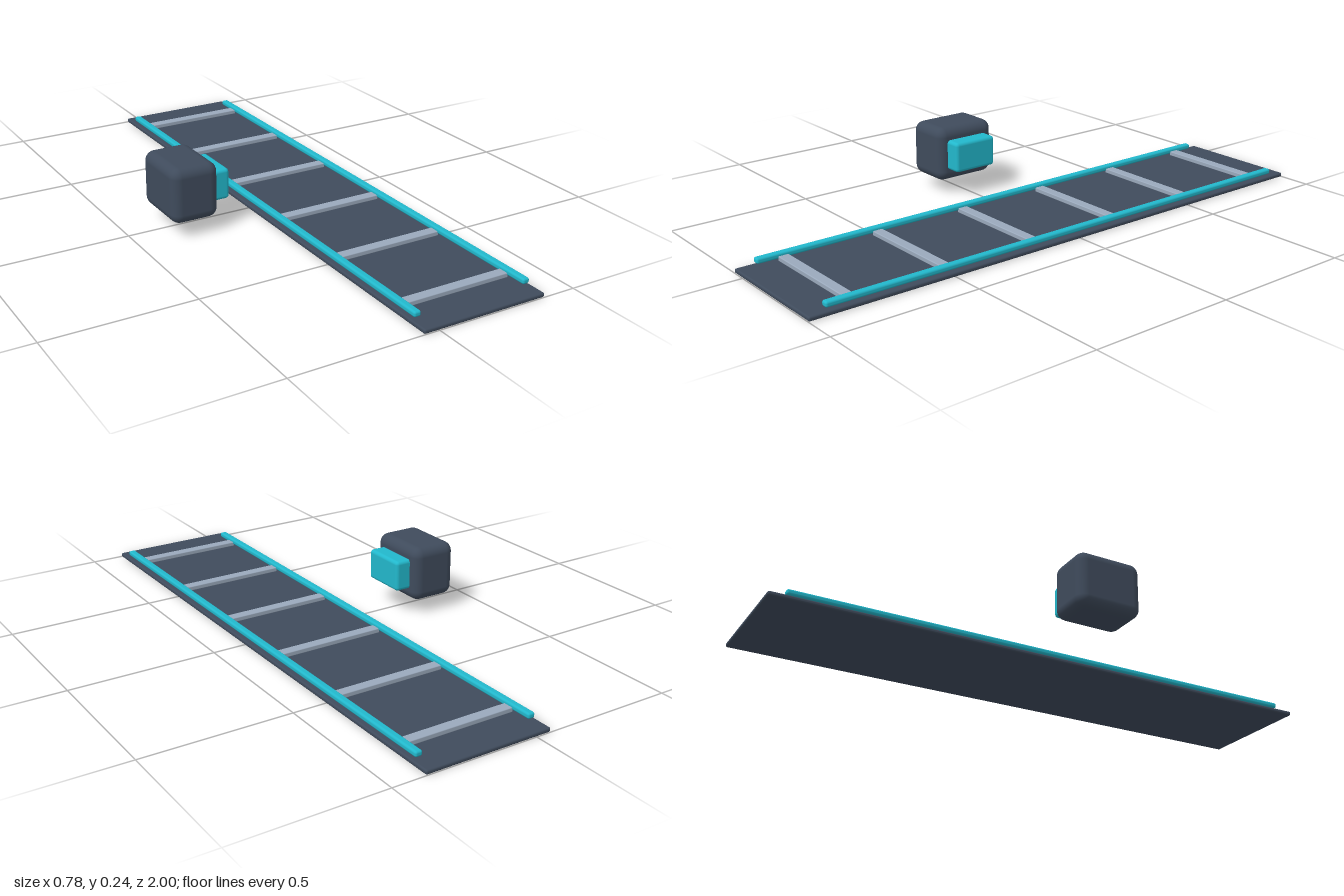
import * as THREE from 'three';
import { RoundedBoxGeometry } from 'three/addons/geometries/RoundedBoxGeometry.js';

export function createModel() {
  const model = new THREE.Group();
  model.name = 'trackAndControlBox';

  const material = (name, color) => {
    const m = new THREE.MeshStandardMaterial({ color });
    m.name = name;
    return m;
  };
  const slate = material('dark slate', 0x3f4b5c);
  const teal = material('teal', 0x22b8cc);
  const steel = material('pale steel', 0x9aa9bc);

  // Rounded box given by its min and max corners
  const block = (name, mat, min, max, radius, parent = model) => {
    const size = max.map((v, i) => v - min[i]);
    const mesh = new THREE.Mesh(new RoundedBoxGeometry(...size, 4, radius), mat);
    mesh.position.set(...max.map((v, i) => (v + min[i]) / 2));
    mesh.name = name;
    parent.add(mesh);
    return mesh;
  };

  const track = new THREE.Group();
  track.name = 'track';
  model.add(track);

  // Flat base plate
  block('basePlate', slate, [-0.053, 0, -1], [0.388, 0.015, 1], 0.006, track);

  // Side rails, floating just above the plate
  for (const [name, x] of [['rightRail', -0.0325], ['leftRail', 0.3675]]) {
    block(name, teal, [x - 0.0125, 0.021, -0.94], [x + 0.0125, 0.04, 0.94], 0.007, track);
  }

  // Evenly spaced cross bars
  for (let i = 0; i < 6; i++) {
    const z = -0.85 + i * 0.34;
    block('crossBar', steel, [-0.024, 0.014, z - 0.018], [0.359, 0.03, z + 0.018], 0.003, track);
  }

  // Control box beside the track, with a panel facing it
  const control = new THREE.Group();
  control.name = 'controlBox';
  model.add(control);
  block('housing', slate, [-0.389, 0.05, -0.117], [-0.221, 0.243, 0.117], 0.034, control);
  block('panel', teal, [-0.25, 0.093, -0.083], [-0.167, 0.2, 0.083], 0.012, control);

  return model;
}
